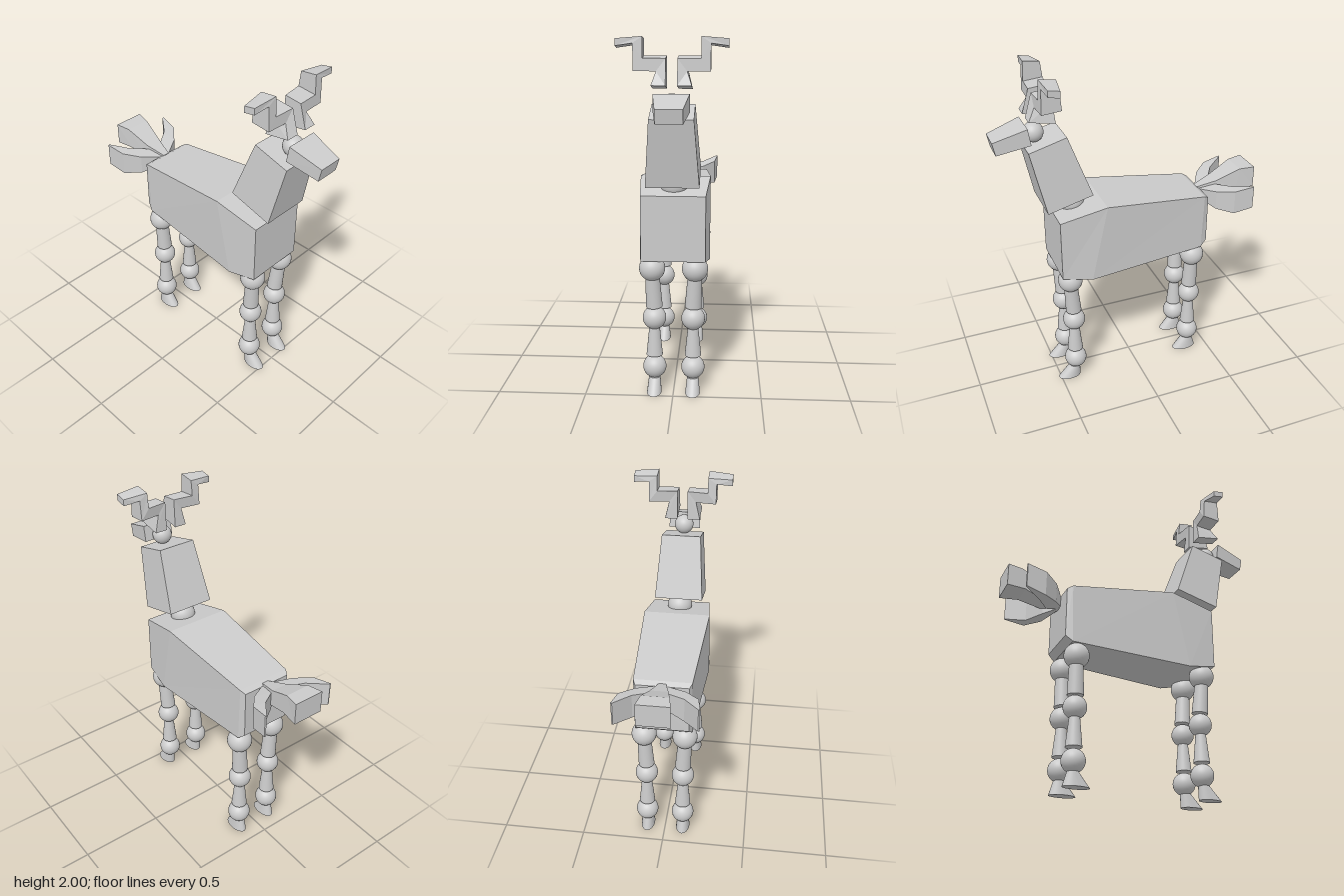
import * as THREE from 'three';

const smooth = new THREE.MeshStandardMaterial({ color: 0xcccccc });
const faceted = new THREE.MeshStandardMaterial({ color: 0xcccccc, flatShading: true });

function add(parent, name, geometry, material) {
  const mesh = new THREE.Mesh(geometry, material);
  mesh.name = name;
  parent.add(mesh);
  return mesh;
}

// Closed flat-sided loft through rings of four corners
function loft(rings) {
  const tris = [];
  const quad = (a, b, c, d) => tris.push([a, b, c], [a, c, d]);
  for (let i = 0; i + 1 < rings.length; i++) {
    for (let j = 0; j < 4; j++) {
      const k = (j + 1) % 4;
      quad(rings[i][j], rings[i][k], rings[i + 1][k], rings[i + 1][j]);
    }
  }
  quad(...[...rings[0]].reverse());
  quad(...rings[rings.length - 1]);
  // A negative enclosed volume means the faces point inward
  const v = (p) => new THREE.Vector3(...p);
  const volume = tris.reduce((s, [a, b, c]) => s + v(a).dot(v(b).cross(v(c))), 0);
  if (volume < 0) tris.forEach((t) => t.reverse());
  const g = new THREE.BufferGeometry();
  g.setAttribute('position', new THREE.Float32BufferAttribute(tris.flat(2), 3));
  g.computeVertexNormals();
  return g;
}

// Ring symmetric in z: upper point, lower point, half widths
const ring = ([xt, yt], [xb, yb], w, wb = w) =>
  [[xt, yt, w], [xt, yt, -w], [xb, yb, -wb], [xb, yb, wb]];

function ball(parent, name, x, y, z, r) {
  add(parent, name, new THREE.SphereGeometry(r, 32, 20), smooth).position.set(x, y, z);
}

// Tapered round limb between two points
function limb(parent, name, a, b, ra, rb) {
  const p = new THREE.Vector3(...a), q = new THREE.Vector3(...b);
  const dir = q.clone().sub(p);
  const m = add(parent, name, new THREE.CylinderGeometry(rb, ra, dir.length(), 28), smooth);
  m.position.copy(p).add(q).multiplyScalar(0.5);
  m.quaternion.setFromUnitVectors(new THREE.Vector3(0, 1, 0), dir.normalize());
}

// Hoof: round frustum stretched and sheared toward the toe
function hoof(parent, bottom, top, z) {
  const h = 0.08;
  const g = new THREE.CylinderGeometry(1, 1, h, 28);
  const p = g.attributes.position;
  for (let i = 0; i < p.count; i++) {
    const [x0, x1, w] = p.getY(i) > 0 ? [...top, 0.033] : [...bottom, 0.042];
    p.setX(i, (x0 + x1) / 2 + p.getX(i) * (x1 - x0) / 2);
    p.setZ(i, p.getZ(i) * w);
  }
  g.computeVertexNormals();
  add(parent, 'hoof', g, smooth).position.set(0, h / 2, z);
}

function addLeg(root, name, side, hipX, kneeX, bottom, top) {
  const leg = new THREE.Group();
  leg.name = name;
  root.add(leg);
  const z = side * 0.11, hipZ = side * 0.12;
  ball(leg, 'hipJoint', hipX, 0.735, hipZ, 0.073);
  limb(leg, 'upperLeg', [kneeX, 0.505, z], [hipX, 0.7, hipZ], 0.047, 0.04);
  ball(leg, 'kneeJoint', kneeX, 0.437, z, 0.067);
  limb(leg, 'lowerLeg', [kneeX, 0.213, z], [kneeX, 0.4, z], 0.047, 0.028);
  ball(leg, 'ankleJoint', kneeX, 0.14, z, 0.067);
  hoof(leg, bottom, top, z);
}

export function createModel() {
  const root = new THREE.Group();
  root.name = 'deer';

  add(root, 'body', loft([
    ring([-0.455, 1.13], [-0.455, 0.835], 0.15),
    ring([-0.425, 1.147], [-0.415, 0.8], 0.165),
    ring([0.2, 1.22], [0.3, 0.757], 0.2),
    ring([0.475, 1.158], [0.475, 0.79], 0.178),
  ]), faceted);

  // Neck and head
  ball(root, 'neckJoint', 0.355, 1.2, 0, 0.075);
  add(root, 'neck', loft([
    ring([0.265, 1.285], [0.53, 1.215], 0.145),
    ring([0.395, 1.645], [0.61, 1.585], 0.117),
  ]), faceted);
  ball(root, 'headJoint', 0.55, 1.657, 0, 0.057);
  add(root, 'snout', loft([
    ring([0.6, 1.715], [0.585, 1.62], 0.095),
    ring([0.79, 1.655], [0.775, 1.58], 0.07),
  ]), faceted);

  // Central tail tuft
  add(root, 'middleTail', loft([
    ring([-0.44, 1.14], [-0.44, 1.06], 0.02),
    ring([-0.56, 1.175], [-0.54, 1.07], 0.05),
    ring([-0.7, 1.24], [-0.68, 1.115], 0.075),
    ring([-0.79, 1.245], [-0.79, 1.113], 0.092),
  ]), faceted);

  // Antler rings: inner [z, y], outer [z, y], back x, front x, rise toward the front
  const antler = [
    [[0.03, 1.73], [0.105, 1.73], 0.45, 0.595, 0.025],
    [[0.03, 1.9], [0.08, 1.835], 0.455, 0.555, -0.01],
    [[0.15, 1.9], [0.2, 1.835], 0.44, 0.55, -0.01],
    [[0.15, 1.988], [0.2, 1.953], 0.45, 0.545, 0.012],
    [[0.292, 1.977], [0.292, 1.94], 0.47, 0.535, 0.012],
  ];
  // Side tail rings: outer [x, z], inner [x, z], bottom y, top y
  const sideTail = [
    [[-0.45, 0.03], [-0.45, -0.01], 1.07, 1.13],
    [[-0.515, 0.14], [-0.54, 0.035], 1.035, 1.15],
    [[-0.6, 0.215], [-0.61, 0.14], 1.025, 1.17],
    [[-0.715, 0.232], [-0.718, 0.224], 1.05, 1.19],
  ];

  for (const [label, s] of [['left', 1], ['right', -1]]) {
    // The model faces +x, so its left flank lies toward -z
    const flank = s > 0 ? 'right' : 'left';
    add(root, flank + 'Antler', loft(antler.map(([i, o, x0, x1, d]) => [
      [x0, i[1], s * i[0]], [x1, i[1] + d, s * i[0]],
      [x1, o[1] + d, s * o[0]], [x0, o[1], s * o[0]],
    ])), faceted);
    add(root, flank + 'Tail', loft(sideTail.map(([o, i, y0, y1]) => [
      [o[0], y0, s * o[1]], [o[0], y1, s * o[1]],
      [i[0], y1, s * i[1]], [i[0], y0, s * i[1]],
    ])), faceted);
    addLeg(root, flank + 'FrontLeg', s, 0.415, 0.4, [0.375, 0.515], [0.375, 0.44]);
    addLeg(root, flank + 'BackLeg', s, -0.375, -0.372, [-0.43, -0.275], [-0.405, -0.34]);
  }
  return root;
}
